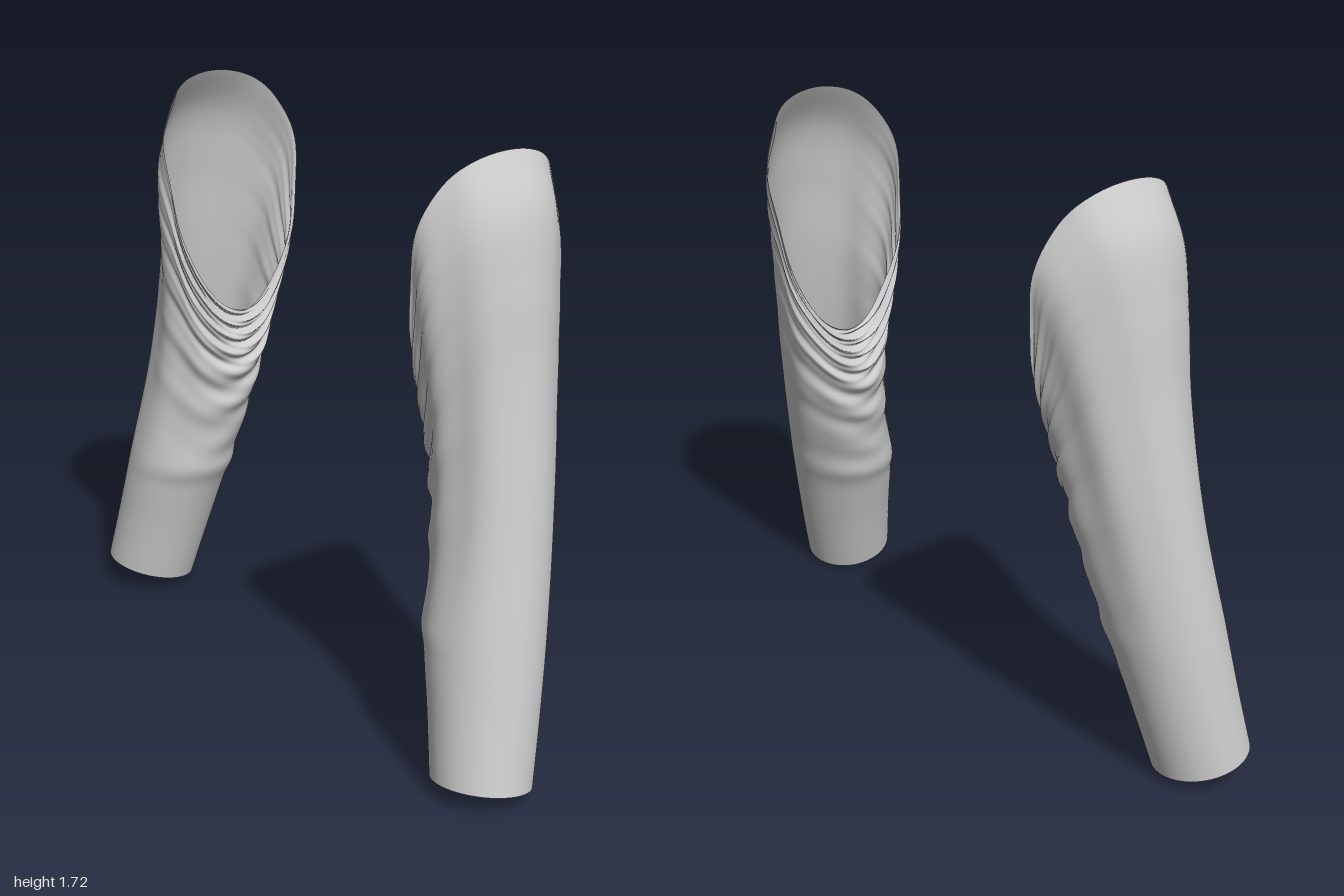
import * as THREE from 'three';

// Loops up the sleeve, cuff to armhole:
// [outer x, outer y, inner x, inner y, front z, back z, side lift y, side shift x]
const RINGS = [
  [1.0, 0.05, 0.715, 0.015, 0.285, 0.012, 0, 0],
  [0.975, 0.22, 0.665, 0.2, 0.262, -0.035, 0, 0],
  [0.945, 0.43, 0.605, 0.4, 0.236, -0.085, 0, 0],
  [0.885, 0.82, 0.55, 0.62, 0.178, -0.148, 0, 0],
  [0.832, 1.15, 0.525, 0.77, 0.163, -0.19, 0.02, 0],
  [0.803, 1.38, 0.522, 0.85, 0.178, -0.22, 0.05, -0.01],
  [0.765, 1.56, 0.528, 0.91, 0.196, -0.25, 0.08, -0.02],
  [0.69, 1.695, 0.55, 0.96, 0.198, -0.275, 0.1, -0.03],
];
const AROUND = 96, ALONG = 130;

// Point on one loop; angle 0 is the outer side, PI the underarm
function ringPoint([ox, oy, ix, iy, zf, zb, lift, shift], a, level) {
  const c = Math.cos(a), s = Math.sin(a), bow = s * s;
  const tilt = 0.028 * s * Math.max(0, 1 - level / 2);
  return new THREE.Vector3(
    (ox + ix) / 2 + c * (ox - ix) / 2 + shift * bow,
    (oy + iy) / 2 + c * (oy - iy) / 2 + lift * bow + tilt,
    (zf + zb) / 2 + s * (zf - zb) / 2
  );
}

// Depth of the draped folds, strongest at the underarm
function foldDepth(v, a) {
  const under = Math.pow((1 - Math.cos(a)) / 2, 2.2);
  const start = THREE.MathUtils.smoothstep(v, 0.2, 0.6);
  const wave = Math.sin(v * 58 + 1.6 * Math.sin(a) + 0.7 * Math.sin(3 * a));
  const fine = Math.sin(v * 125 - 2.2 * Math.sin(a) + Math.cos(2 * a));
  const crease = Math.exp(-Math.pow((v - 0.3) / 0.025, 2)) * 0.012;
  const long = 0.006 * Math.sin(7 * a + 5 * v) * Math.sin(a) ** 2;
  return under * (start * (0.009 * wave + 0.005 * fine * v) + crease) + start * long;
}

function sleeveGeometry(side) {
  const pos = [], index = [];
  for (let i = 0; i < AROUND; i++) {
    const a = (i / AROUND) * Math.PI * 2;
    const curve = new THREE.CatmullRomCurve3(RINGS.map((r, k) => ringPoint(r, a, k)));
    for (let j = 0; j <= ALONG; j++) {
      const v = j / ALONG, p = curve.getPoint(v), d = foldDepth(v, a);
      p.x += Math.cos(a) * d;
      p.z += Math.sin(a) * d;
      pos.push(p.x * side, p.y, p.z);
    }
  }
  const row = ALONG + 1;
  for (let i = 0; i < AROUND; i++) {
    for (let j = 0; j < ALONG; j++) {
      const p = i * row + j, q = ((i + 1) % AROUND) * row + j;
      // Mirrored side takes the opposite corner order
      if (side > 0) index.push(p, p + 1, q, q, p + 1, q + 1);
      else index.push(p, q, p + 1, q, q + 1, p + 1);
    }
  }
  const g = new THREE.BufferGeometry();
  g.setAttribute('position', new THREE.Float32BufferAttribute(pos, 3));
  g.setIndex(index);
  g.computeVertexNormals();
  return g;
}

export function createModel() {
  const group = new THREE.Group();
  group.name = 'sleeves';
  const cloth = new THREE.MeshStandardMaterial({ color: 0xcccccc, side: THREE.DoubleSide });
  for (const [name, side, lift] of [['leftSleeve', 1, -0.005], ['rightSleeve', -1, 0.018]]) {
    const sleeve = new THREE.Mesh(sleeveGeometry(side), cloth);
    sleeve.name = name;
    sleeve.position.y = lift;
    group.add(sleeve);
  }
  return group;
}
